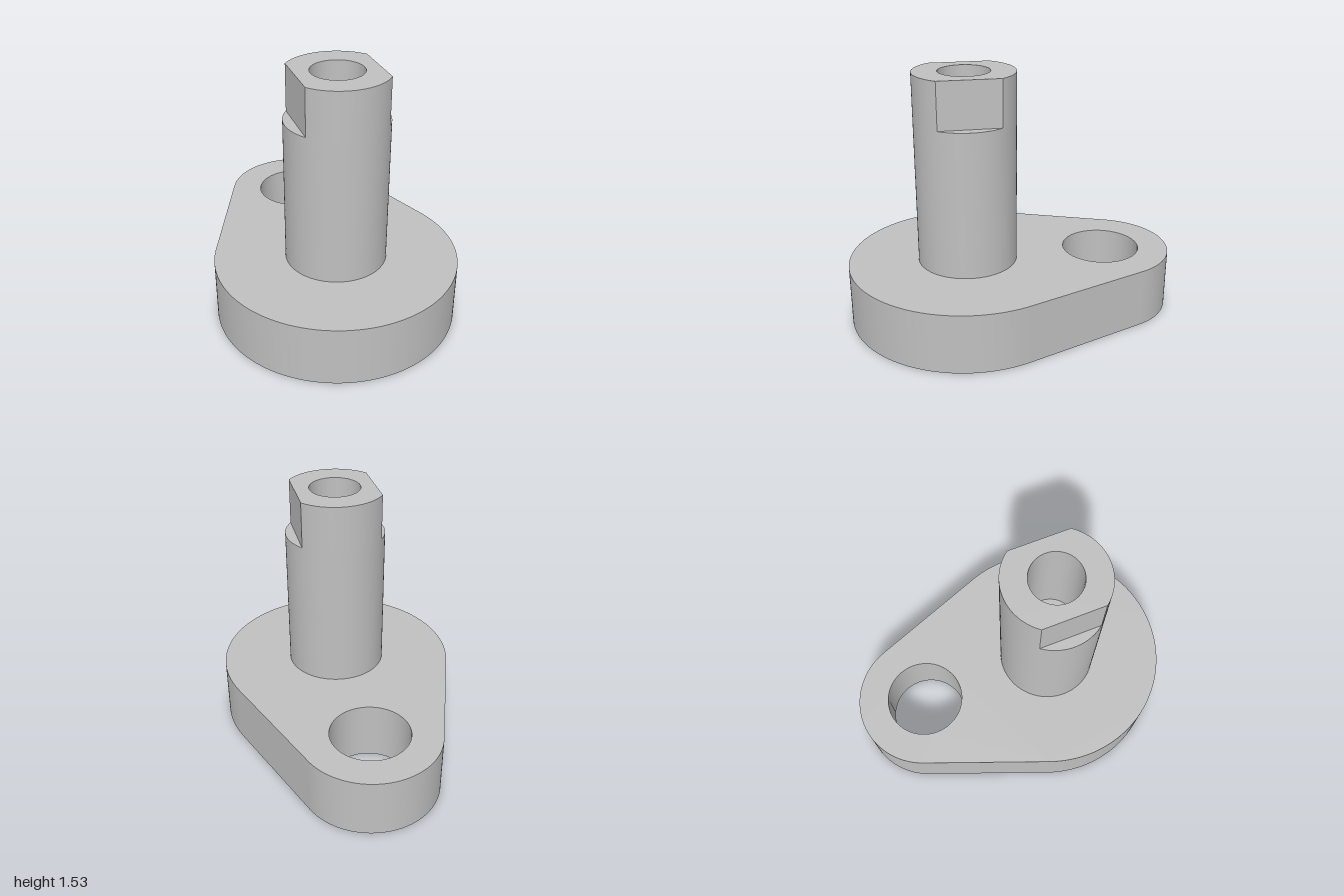
import * as THREE from 'three';
import { toCreasedNormals } from 'three/addons/utils/BufferGeometryUtils.js';

const BASE_TOP = 0.363, SHOULDER = 1.25, TOP = 1.53, BORE_FLOOR = 0.9;
const PIVOT_Z = 0.273, EYE_Z = -0.577;
const BIG_R = 0.727, SMALL_R = 0.423, EYE_R = 0.238;
const POST_R = 0.302, FLAT_X = 0.24, BORE_R = 0.153;

export function createModel() {
  const group = new THREE.Group();
  const steel = new THREE.MeshStandardMaterial({ color: 0xc0c0c0 });
  steel.name = 'steel grey';

  const add = (name, geometry) => {
    const mesh = new THREE.Mesh(geometry, steel);
    mesh.name = name;
    group.add(mesh);
  };

  // Plan outlines use (x, -z); extruded upwards from y0 to y1
  const extrudeUp = (shape, y0, y1) => {
    const geo = new THREE.ExtrudeGeometry(shape, { depth: y1 - y0, bevelEnabled: false, curveSegments: 64 });
    geo.rotateX(-Math.PI / 2).translate(0, y0, 0);
    return toCreasedNormals(geo, 0.5);
  };
  const circle = (Type, z, r) => new Type().absarc(0, -z, r, 0, Math.PI * 2, false);

  // Base plate: two circles joined by their common tangents, with a through hole
  const tilt = Math.asin((BIG_R - SMALL_R) / (PIVOT_Z - EYE_Z));
  const plate = new THREE.Shape();
  plate.absarc(0, -EYE_Z, SMALL_R, tilt, Math.PI - tilt, false);
  plate.absarc(0, -PIVOT_Z, BIG_R, Math.PI - tilt, Math.PI * 2 + tilt, false);
  plate.closePath();
  plate.holes.push(circle(THREE.Path, EYE_Z, EYE_R));
  add('basePlate', extrudeUp(plate, 0, BASE_TOP));

  // Round post with a blind bore
  const round = circle(THREE.Shape, PIVOT_Z, POST_R);
  round.holes.push(circle(THREE.Path, PIVOT_Z, BORE_R));
  add('post', extrudeUp(round, BASE_TOP, SHOULDER));

  const floor = new THREE.CircleGeometry(BORE_R, 64);
  floor.rotateX(-Math.PI / 2).translate(0, BORE_FLOOR, PIVOT_Z);
  add('boreFloor', floor);

  // Post end with a flat on each side
  const a = Math.acos(FLAT_X / POST_R);
  const flatted = new THREE.Shape();
  flatted.absarc(0, -PIVOT_Z, POST_R, a, Math.PI - a, false);
  flatted.absarc(0, -PIVOT_Z, POST_R, Math.PI + a, Math.PI * 2 - a, false);
  flatted.closePath();
  flatted.holes.push(circle(THREE.Path, PIVOT_Z, BORE_R));
  add('flattedPostEnd', extrudeUp(flatted, SHOULDER, TOP));

  return group;
}
